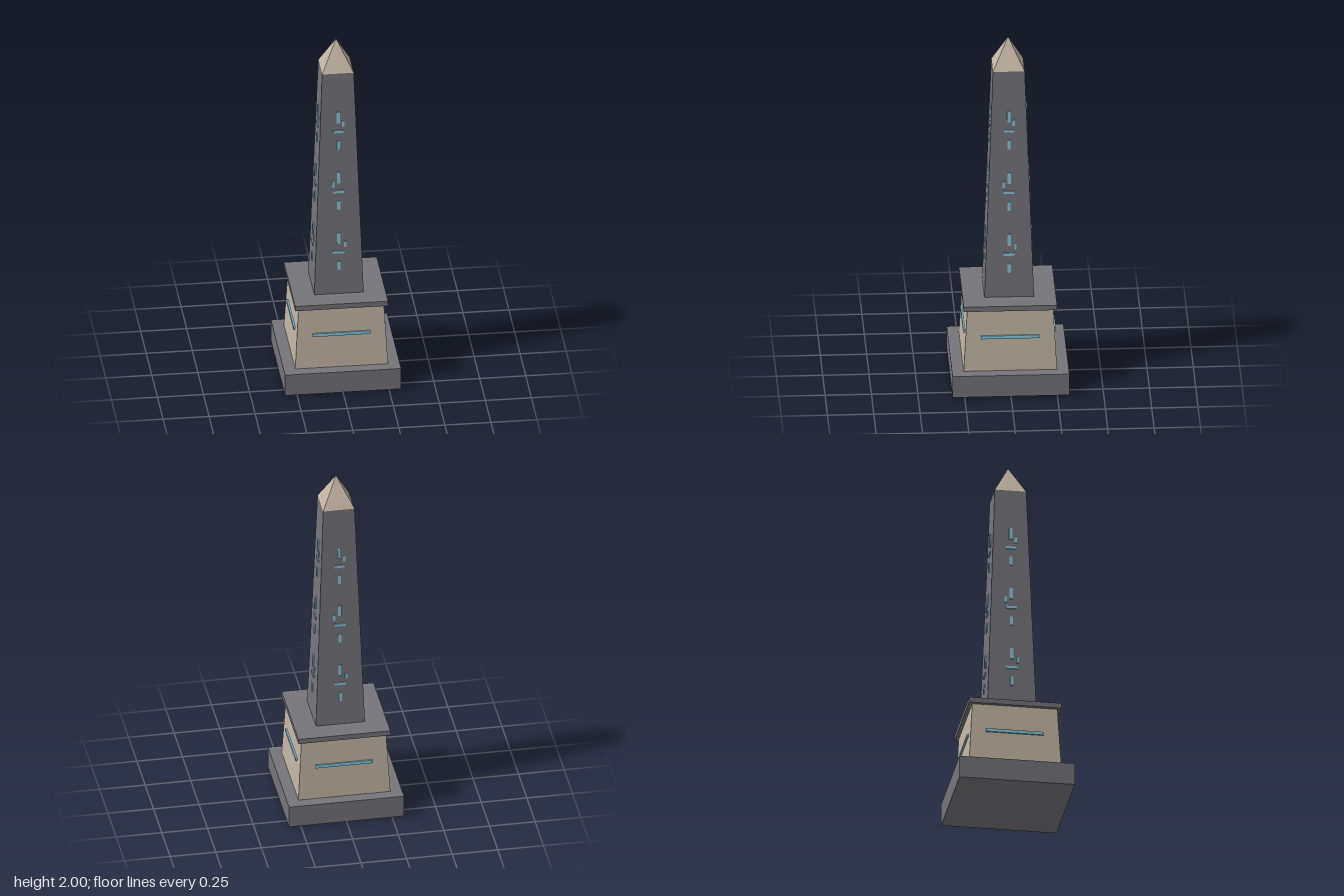
import * as THREE from 'three';

export function createModel() {
  const group = new THREE.Group();
  group.name = 'obelisk';

  const material = (name, color) => {
    const m = new THREE.MeshStandardMaterial({ color });
    m.name = name;
    return m;
  };
  const darkStone = material('dark stone', 0x75747a);
  const sandstone = material('sandstone', 0xc2b5a4);
  const glowBlue = material('glow blue', 0x87c3d8);

  // Square block from y0 to y1, tapering between two half widths, with flat faces
  function block(name, y0, y1, half0, half1, mat) {
    const r = Math.SQRT2;
    const geo = new THREE.CylinderGeometry(half1 * r, half0 * r, y1 - y0, 4)
      .rotateY(Math.PI / 4)
      .translate(0, (y0 + y1) / 2, 0)
      .toNonIndexed();
    geo.computeVertexNormals();
    const mesh = new THREE.Mesh(geo, mat);
    mesh.name = name;
    group.add(mesh);
  }

  const shaft = { y0: 0.508, y1: 1.83, half0: 0.134, half1: 0.086 };
  const pedestal = { y0: 0.125, y1: 0.479, half0: 0.252, half1: 0.232 };

  block('plinth', 0, 0.125, 0.315, 0.315, darkStone);
  block('pedestal', pedestal.y0, pedestal.y1, pedestal.half0, pedestal.half1, sandstone);
  block('pedestalCap', 0.479, 0.508, 0.252, 0.252, darkStone);
  block('shaft', shaft.y0, shaft.y1, shaft.half0, shaft.half1, darkStone);
  block('pyramidTip', 1.83, 2, 0.086, 0.0, sandstone);

  // Raised bar lying on the sloping front face of a tapered block
  function bar(parent, name, body, x, y, width, height, proud) {
    const slope = (body.half0 - body.half1) / (body.y1 - body.y0);
    const depth = proud + 0.003;
    const mesh = new THREE.Mesh(new THREE.BoxGeometry(width, height, depth), glowBlue);
    mesh.name = name;
    mesh.position.set(x, y, body.half0 - slope * (y - body.y0) + proud - depth / 2);
    mesh.rotation.x = -Math.atan(slope);
    parent.add(mesh);
  }

  // Three glyphs and one pedestal band, repeated on all four sides
  const glyphs = [
    { y: 0.759, side: 0.034, width: 0.063 },
    { y: 1.122, side: -0.03, width: 0.06 },
    { y: 1.483, side: 0.026, width: 0.054 },
  ];
  for (let i = 0; i < 4; i++) {
    const face = new THREE.Group();
    face.name = 'inscribedSide' + (i + 1);
    face.rotation.y = (i * Math.PI) / 2;
    for (const g of glyphs) {
      bar(face, 'glyphUpperStroke', shaft, 0, g.y + 0.084, 0.018, 0.066, 0.007);
      bar(face, 'glyphSideTick', shaft, g.side, g.y + 0.046, 0.013, 0.034, 0.006);
      bar(face, 'glyphCrossStroke', shaft, 0, g.y, g.width, 0.015, 0.006);
      bar(face, 'glyphLowerStroke', shaft, 0, g.y - 0.081, 0.017, 0.052, 0.006);
    }
    bar(face, 'pedestalBand', pedestal, 0, 0.322, 0.315, 0.018, 0.009);
    group.add(face);
  }

  return group;
}
